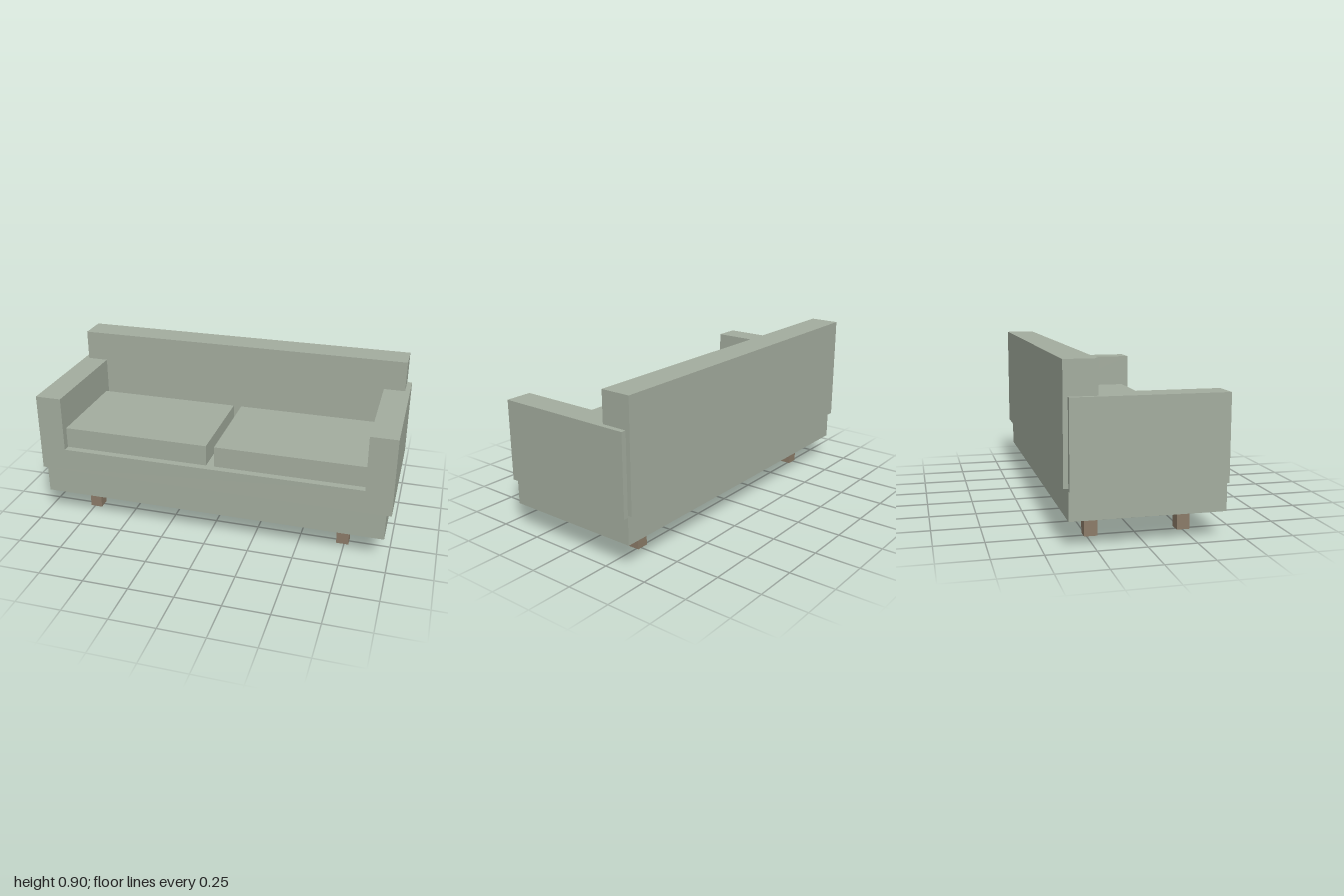
import * as THREE from 'three';

export function createModel() {
  const group = new THREE.Group();
  group.name = 'sofa';

  const fabric = new THREE.MeshStandardMaterial({ color: 0xa3ac9e });
  fabric.name = 'sage fabric';
  const wood = new THREE.MeshStandardMaterial({ color: 0x8b7b68 });
  wood.name = 'brown wood';

  // Box given by its lower and upper limits on each axis
  const addBox = (name, material, [x0, x1], [y0, y1], [z0, z1]) => {
    const mesh = new THREE.Mesh(new THREE.BoxGeometry(x1 - x0, y1 - y0, z1 - z0), material);
    mesh.position.set((x0 + x1) / 2, (y0 + y1) / 2, (z0 + z1) / 2);
    mesh.name = name;
    group.add(mesh);
  };

  // Base and both arms in one body: half profile, mirrored, extruded front to back
  const half = [[0.972, 0.142], [0.972, 0.29], [1, 0.29], [1, 0.732], [0.853, 0.732], [0.853, 0.42]];
  const mirrored = half.map(([x, y]) => [-x, y]).reverse();
  const profile = new THREE.Shape([...half, ...mirrored].map(([x, y]) => new THREE.Vector2(x, y)));
  const frame = new THREE.Mesh(
    new THREE.ExtrudeGeometry(profile, { depth: 0.786, bevelEnabled: false }), fabric);
  frame.position.z = -0.381;
  frame.name = 'baseAndArms';
  group.add(frame);

  // Backrest, overhanging the base slightly at the rear
  addBox('backrest', fabric, [-0.972, 0.972], [0.302, 0.904], [-0.405, -0.238]);

  // Two seat cushions with a gap between them
  addBox('leftCushion', fabric, [0.023, 0.853], [0.42, 0.538], [-0.2, 0.365]);
  addBox('rightCushion', fabric, [-0.853, -0.023], [0.42, 0.538], [-0.2, 0.365]);

  // Four square legs
  const leg = 0.034;
  for (const [side, x] of [['Left', 0.74], ['Right', -0.74]]) {
    for (const [end, z] of [['front', 0.254], ['back', -0.229]]) {
      addBox(`${end}${side}Leg`, wood, [x - leg, x + leg], [0, 0.142], [z - leg, z + leg]);
    }
  }

  return group;
}
